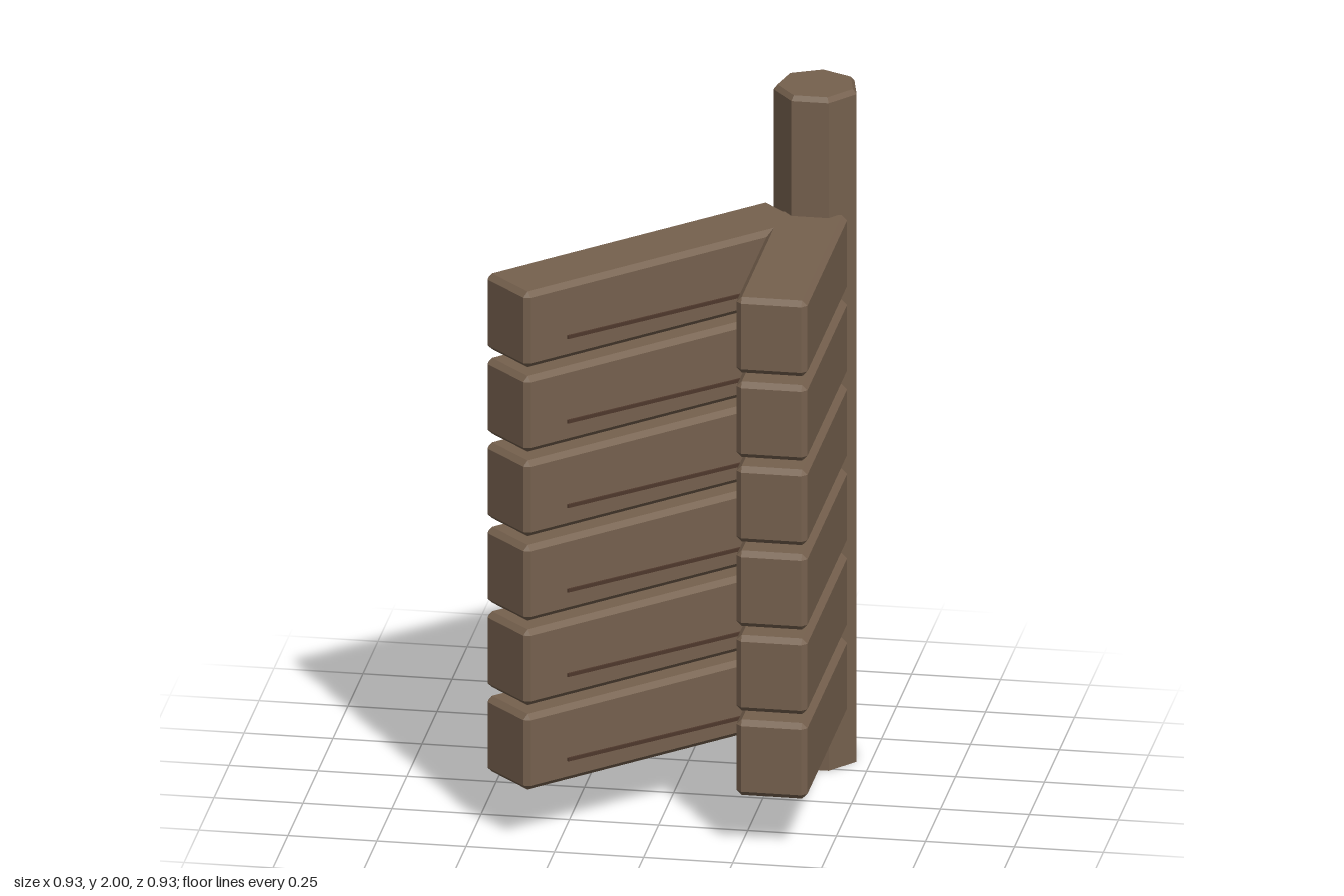
import * as THREE from 'three';
import { ConvexGeometry } from 'three/addons/geometries/ConvexGeometry.js';

// Box with every edge chamfered by c
function chamferBox(w, h, d, c) {
  const pts = [];
  for (const x of [-1, 1]) for (const y of [-1, 1]) for (const z of [-1, 1]) {
    for (let axis = 0; axis < 3; axis++) {
      const half = [w / 2 - c, h / 2 - c, d / 2 - c];
      half[axis] += c;
      pts.push(new THREE.Vector3(x * half[0], y * half[1], z * half[2]));
    }
  }
  return new ConvexGeometry(pts);
}

export function createModel() {
  const wood = new THREE.MeshStandardMaterial({ color: 0x756049, flatShading: true });
  wood.name = 'brown wood';
  wood.color.set(0x76614e);
  const dark = new THREE.MeshStandardMaterial({ color: 0x4f382c, flatShading: true });
  dark.name = 'dark wood grain';

  const model = new THREE.Group();
  model.name = 'cornerFence';

  function add(parent, name, geometry, material, x, y, z) {
    const mesh = new THREE.Mesh(geometry, material);
    mesh.name = name;
    mesh.position.set(x, y, z);
    parent.add(mesh);
    return mesh;
  }

  // Seven-sided corner post, chamfered at the top only
  const R = 0.12;
  const profile = [[0, 0], [R, 0], [R, 1.986], [R - 0.011, 2], [0, 2]]
    .map(([x, y]) => new THREE.Vector2(x, y));
  add(model, 'post', new THREE.LatheGeometry(profile, 7, Math.PI), wood, 0.344, 0, -0.344);

  const straightGeo = chamferBox(0.2, 0.225, 0.69, 0.015);
  const diagonalGeo = chamferBox(0.961, 0.225, 0.2, 0.015);
  const grainGeo = new THREE.BoxGeometry(0.667, 0.01, 0.006);

  // Six stacked rows: a straight plank, a diagonal plank and its grain strips
  for (let i = 0; i < 6; i++) {
    const y = 0.275 + i * 0.2514;
    add(model, 'straightPlank', straightGeo, wood, 0.343, y, 0.065);

    const wing = new THREE.Group();
    wing.name = 'diagonalRow';
    wing.position.set(-0.066, y, 0.065);
    wing.rotation.y = Math.PI / 4;
    model.add(wing);
    add(wing, 'diagonalPlank', diagonalGeo, wood, 0, 0, 0);
    for (const side of [-1, 1]) {
      const strip = add(wing, 'grainStrip', grainGeo, dark, -0.02, -0.042, side * 0.122);
      strip.rotation.z = -0.015;
    }
  }
  return model;
}
